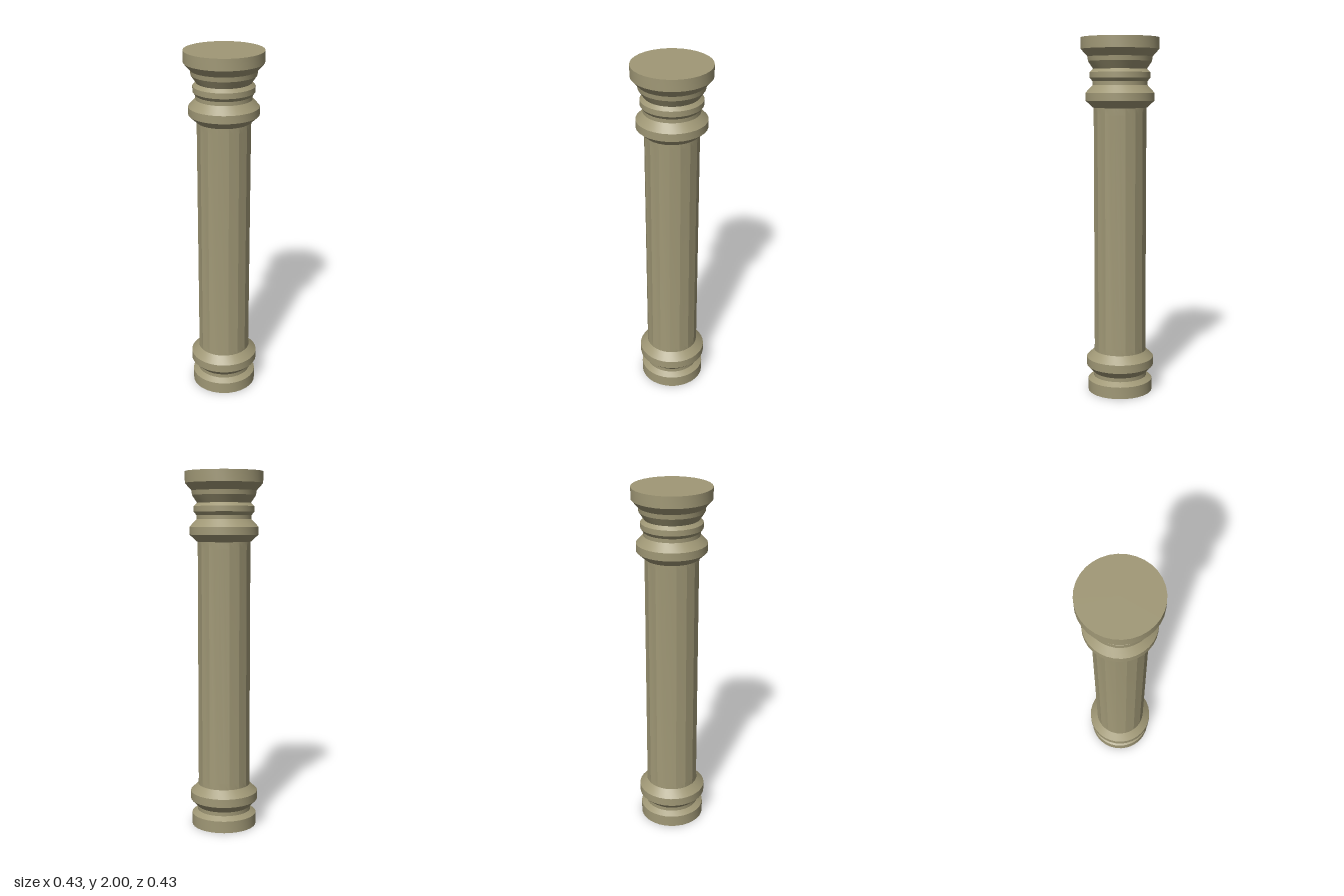
import * as THREE from 'three';
import { toCreasedNormals } from 'three/addons/utils/BufferGeometryUtils.js';

const SIDES = 32;
const RIDGE = 0.148;  // shaft radius at the ridges
const VALLEY = 0.144; // shaft radius in the middle of a flute

// Turned part from [radius, height] pairs, listed bottom to top
function turned(profile) {
  const points = profile.map(([r, y]) => new THREE.Vector2(r, y));
  return new THREE.LatheGeometry(points, SIDES);
}

// Shaft with 16 shallow flutes that run out to a full round at both ends
function flutedShaft() {
  const geometry = turned([
    [RIDGE, 0.22], [RIDGE, 0.235], [RIDGE, 0.275],
    [RIDGE, 1.58], [RIDGE, 1.62], [RIDGE, 1.64],
  ]);
  const pos = geometry.attributes.position;
  for (let i = 0; i < pos.count; i++) {
    const y = pos.getY(i);
    const step = Math.round(Math.atan2(pos.getX(i), pos.getZ(i)) / (Math.PI * 2 / SIDES));
    if (step % 2 === 0 && y > 0.25 && y < 1.6) {
      const k = VALLEY / RIDGE;
      pos.setXYZ(i, pos.getX(i) * k, y, pos.getZ(i) * k);
    }
  }
  return geometry;
}

export function createModel() {
  const model = new THREE.Group();
  model.name = 'column';
  const stone = new THREE.MeshStandardMaterial({ color: 0xa09876 });

  const add = (name, geometry) => {
    const mesh = new THREE.Mesh(toCreasedNormals(geometry, 0.3), stone);
    mesh.name = name;
    model.add(mesh);
  };

  // Plinth, neck and lower ring
  add('base', turned([
    [0, 0], [0.183, 0], [0.183, 0.067], [0.152, 0.088], [0.152, 0.11],
    [0.191, 0.15], [0.191, 0.197], [0.148, 0.238], [0, 0.238],
  ]));

  add('shaft', flutedShaft());

  // Upper ring, neck, bead, flare and top slab
  add('capital', turned([
    [0, 1.618], [0.148, 1.618], [0.191, 1.657], [0.191, 1.7],
    [0.152, 1.742], [0.152, 1.763], [0.167, 1.782], [0.167, 1.812],
    [0.148, 1.83], [0.176, 1.872], [0.179, 1.897],
    [0.215, 1.937], [0.215, 2], [0, 2],
  ]));

  return model;
}
